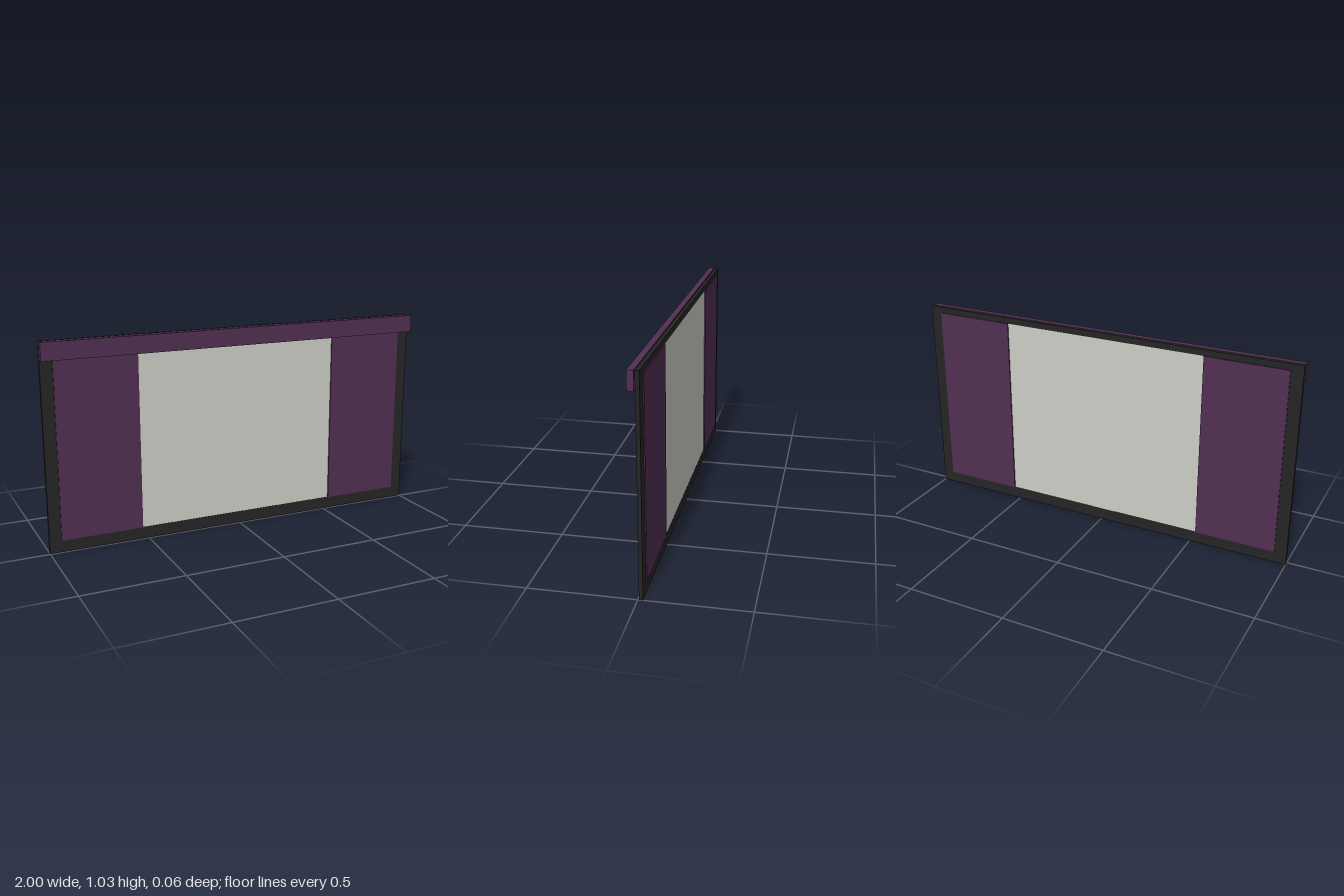
import * as THREE from 'three';

export function createModel() {
  const model = new THREE.Group();
  const frameBlack = new THREE.MeshStandardMaterial({ color: 0x242524 });
  const curtainPurple = new THREE.MeshStandardMaterial({ color: 0x522f52 });
  const paneGrey = new THREE.MeshStandardMaterial({ color: 0xcecec8 });

  // Box given by its limits on each axis
  function box(name, material, [x0, x1], [y0, y1], [z0, z1]) {
    const mesh = new THREE.Mesh(new THREE.BoxGeometry(x1 - x0, y1 - y0, z1 - z0), material);
    mesh.position.set((x0 + x1) / 2, (y0 + y1) / 2, (z0 + z1) / 2);
    mesh.name = name;
    model.add(mesh);
  }

  const top = 1.03, openBottom = 0.06, openTop = 1.0;
  const openHalf = 0.94, paneHalf = 0.53;
  const frameZ = [-0.023, -0.005];

  // Window frame: one outline with a rectangular opening
  const outline = new THREE.Shape();
  outline.moveTo(-1, 0).lineTo(1, 0).lineTo(1, top).lineTo(-1, top).closePath();
  const opening = new THREE.Path();
  opening.moveTo(-openHalf, openBottom).lineTo(-openHalf, openTop)
    .lineTo(openHalf, openTop).lineTo(openHalf, openBottom).closePath();
  outline.holes.push(opening);
  const frame = new THREE.Mesh(
    new THREE.ExtrudeGeometry(outline, { depth: frameZ[1] - frameZ[0], bevelEnabled: false }),
    frameBlack
  );
  frame.position.z = frameZ[0];
  frame.name = 'windowFrame';
  model.add(frame);

  // Pane between the curtains
  box('windowPane', paneGrey, [-paneHalf, paneHalf], [openBottom, openTop], [-0.022, -0.006]);

  // Curtains, slightly proud of the frame on both sides
  box('leftCurtain', curtainPurple, [paneHalf, openHalf], [openBottom, openTop], [-0.028, 0]);
  box('rightCurtain', curtainPurple, [-openHalf, -paneHalf], [openBottom, openTop], [-0.028, 0]);

  // Valance across the top of the front
  box('valance', curtainPurple, [-1, 1], [0.942, top], [0, 0.03]);

  return model;
}
